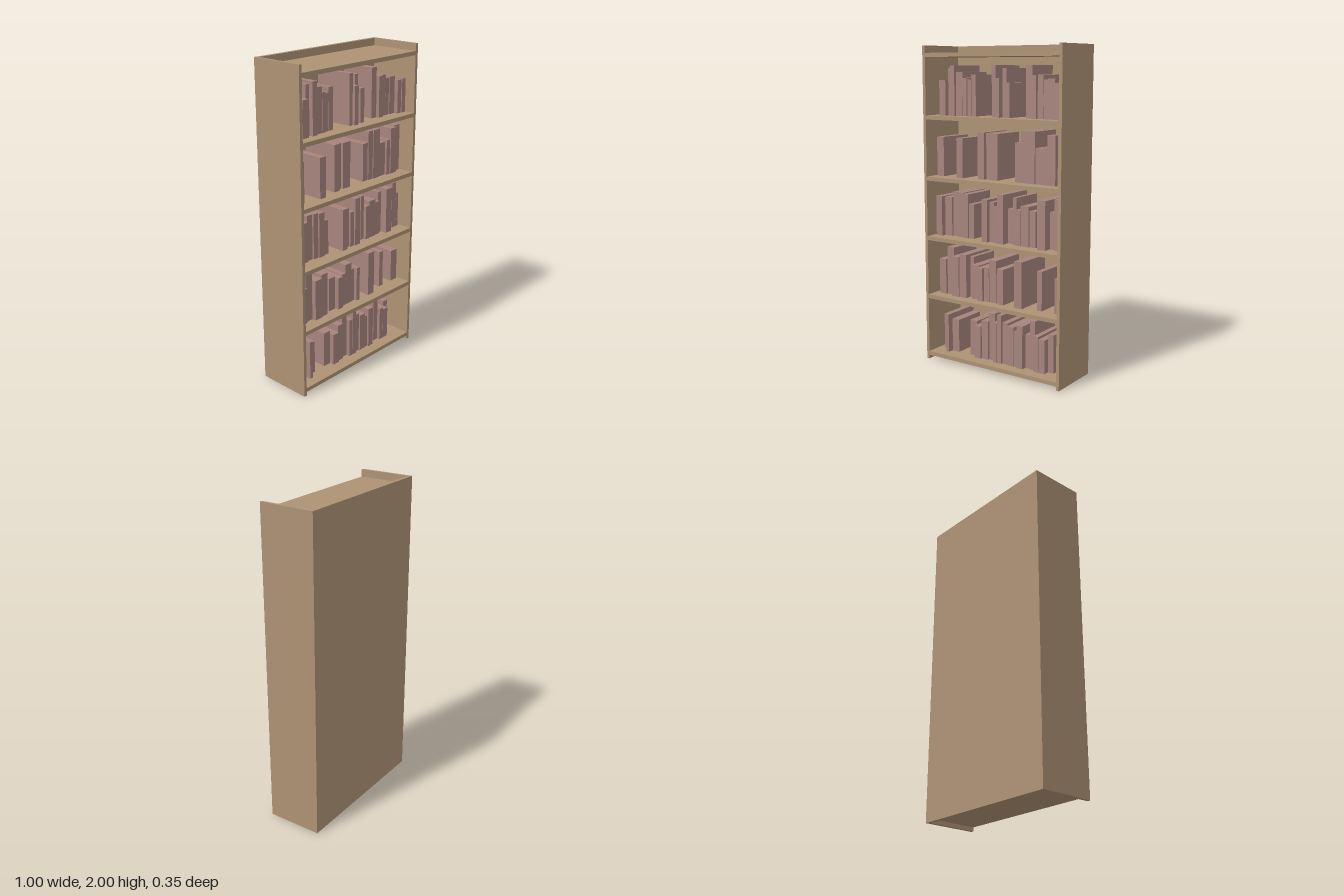
import * as THREE from 'three';

const wood = new THREE.MeshStandardMaterial({ name: 'wood', color: 0xad9274 });
const cover = new THREE.MeshStandardMaterial({ name: 'bookCover', color: 0xa6847c });

const FRONT = 0.175, PANEL = -0.153, BACK = -0.175;

// Box given by its minimum and maximum corners
function block(name, material, [x0, y0, z0], [x1, y1, z1]) {
  const mesh = new THREE.Mesh(new THREE.BoxGeometry(x1 - x0, y1 - y0, z1 - z0), material);
  mesh.position.set((x0 + x1) / 2, (y0 + y1) / 2, (z0 + z1) / 2);
  mesh.name = name;
  return mesh;
}

const shelfTop = (i) => 0.05 + i * 0.381;

// Seeded generator for the varying book depths
let seed = 7;
function random() {
  seed = (seed * 16807) % 2147483647;
  return seed / 2147483647;
}

// Row of touching books: start x, then [width, height] pairs in thousandths
function bookRun(shelf, startX, books) {
  const run = new THREE.Group();
  run.name = 'bookRun';
  const y = shelfTop(shelf);
  let x = startX;
  for (const [w, h] of books) {
    const width = w / 1000;
    const front = 0.06 + 0.06 * random();
    run.add(block('book', cover, [x + 0.001, y, PANEL + 0.004], [x + width - 0.001, y + h / 1000, front]));
    x += width;
  }
  return run;
}

export function createModel() {
  const model = new THREE.Group();
  model.name = 'bookcase';

  // Case
  model.add(block('backPanel', wood, [-0.5, 0, BACK], [0.5, 2, PANEL]));
  model.add(block('rightSide', wood, [-0.5, 0, PANEL], [-0.48, 2, FRONT]));
  model.add(block('leftSide', wood, [0.48, 0, PANEL], [0.5, 2, FRONT]));
  for (let i = 0; i < 6; i++) {
    const y = shelfTop(i);
    model.add(block('shelf', wood, [-0.48, y - 0.025, PANEL], [0.48, y, FRONT]));
  }

  // Books, from the bottom shelf up
  model.add(
    bookRun(0, -0.445, [[55, 230], [25, 250], [55, 215]]),
    bookRun(0, -0.225, [[55, 230], [50, 210], [50, 250], [45, 305], [32, 255], [33, 310], [40, 265], [50, 250],
      [25, 225], [45, 270], [35, 215], [40, 310], [35, 225], [45, 210], [40, 240]]),

    bookRun(1, -0.445, [[53, 228], [55, 308], [57, 258], [55, 278], [30, 263], [55, 218], [45, 210], [40, 215],
      [55, 268], [30, 218], [30, 223]]),
    bookRun(1, 0.14, [[57, 288]]),
    bookRun(1, 0.285, [[36, 243]]),
    bookRun(1, 0.405, [[60, 213]]),

    bookRun(2, -0.46, [[48, 253], [57, 248], [45, 283], [40, 283], [45, 278], [40, 218]]),
    bookRun(2, -0.1, [[45, 263], [35, 248], [35, 223], [45, 303], [45, 213], [30, 288], [35, 218], [60, 243],
      [45, 218], [30, 273], [55, 293], [40, 223], [40, 303], [25, 228]]),

    bookRun(3, -0.455, [[55, 247]]),
    bookRun(3, -0.29, [[50, 247]]),
    bookRun(3, -0.145, [[50, 287], [30, 282], [65, 282]]),
    bookRun(3, 0.12, [[45, 237], [42, 307], [60, 307], [58, 212], [33, 222], [57, 292], [55, 297]]),

    bookRun(4, -0.42, [[50, 216], [30, 291], [38, 306], [52, 266], [30, 231], [30, 221], [35, 251]]),
    bookRun(4, -0.03, [[30, 306], [35, 231], [30, 291], [35, 206]]),
    bookRun(4, 0.195, [[45, 306], [40, 251], [40, 251], [30, 226], [50, 231], [35, 206], [35, 211]]),
  );
  return model;
}
